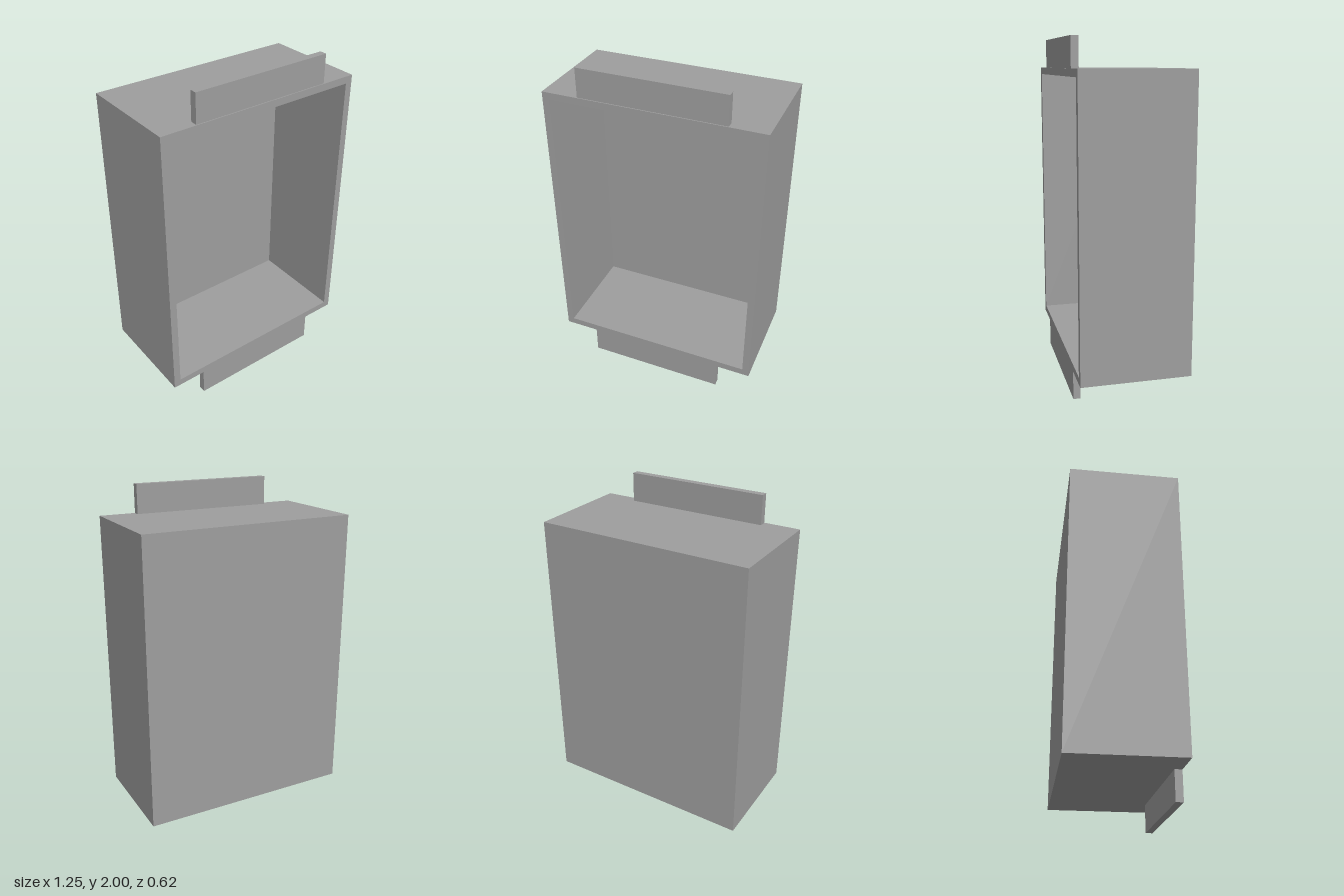
import * as THREE from 'three';

export function createModel() {
  const model = new THREE.Group();
  const material = new THREE.MeshStandardMaterial({ color: 0x9e9e9e, flatShading: true });

  // All sizes are multiples of the wall thickness
  const WALL = 1 / 24;
  const W = 30 * WALL, D = 15 * WALL;
  const BOTTOM = 4 * WALL, TOP = 44 * WALL;

  const add = (name, geometry) => {
    const mesh = new THREE.Mesh(geometry, material);
    mesh.name = name;
    model.add(mesh);
    return mesh;
  };

  // Four side walls: a rectangular frame extruded from the back panel to the front
  const rect = (Path, inset) => new Path([
    new THREE.Vector2(-W / 2 + inset, BOTTOM + inset),
    new THREE.Vector2(W / 2 - inset, BOTTOM + inset),
    new THREE.Vector2(W / 2 - inset, TOP - inset),
    new THREE.Vector2(-W / 2 + inset, TOP - inset),
  ]);
  const frame = rect(THREE.Shape, 0);
  frame.holes.push(rect(THREE.Path, WALL));
  add('sideWalls', new THREE.ExtrudeGeometry(frame, { depth: D, bevelEnabled: false }))
    .position.z = -D / 2;

  // Back panel closing the frame
  add('backPanel', new THREE.BoxGeometry(W - 2 * WALL, TOP - BOTTOM - 2 * WALL, WALL))
    .position.set(0, (TOP + BOTTOM) / 2, -D / 2 + WALL / 2);

  // Mounting tabs; the upper one sits slightly behind the front rim
  const tab = (name, y0, y1, frontZ) =>
    add(name, new THREE.BoxGeometry(20 * WALL, y1 - y0, WALL))
      .position.set(0, (y0 + y1) / 2, frontZ - WALL / 2);
  tab('topTab', TOP, 2, D / 2 - 0.006);
  tab('bottomTab', 0, BOTTOM, D / 2);

  return model;
}
